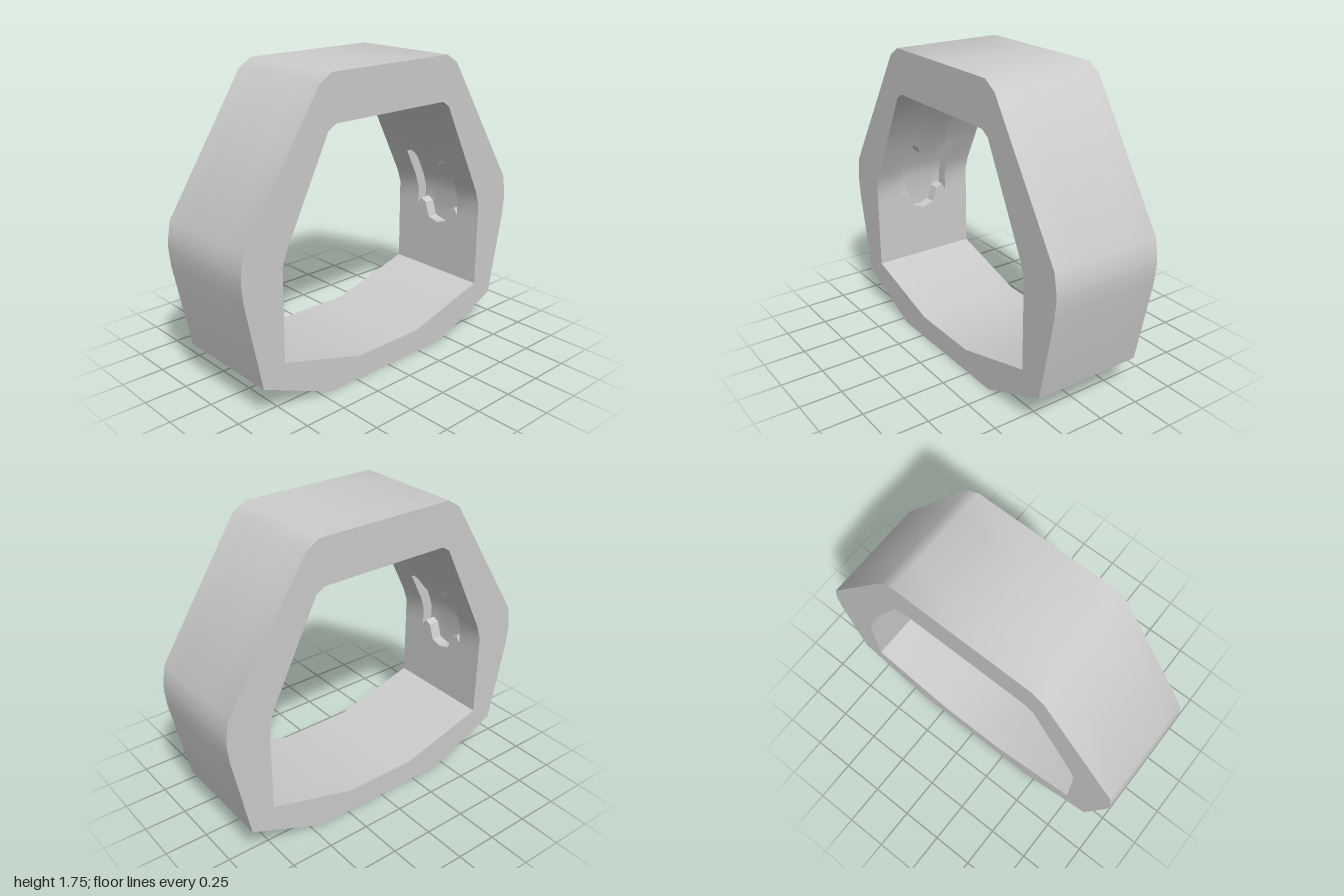
import * as THREE from 'three';
import { toCreasedNormals, mergeGeometries } from 'three/addons/utils/BufferGeometryUtils.js';

const HALF_WIDTH = 0.33, POCKET_HALF = 0.165, POCKET_DEPTH = 0.07;

// half profiles as [z, y], from top centre to bottom centre
const OUTER = [[0, 1.745], [0.42, 1.745], [0.5, 1.695], [0.98, 0.945], [0.999, 0.84],
  [1, 0.79], [0.99, 0.69], [0.89, 0.19], [0.445, 0], [0, 0]];
const INNER_TOP = [[0, 1.487], [0.395, 1.487], [0.445, 1.455]];
const INNER_WALL = [[0.75, 0.29], [0.75, 0.81], [0.72, 0.9], [0.445, 1.455]];
const INNER_BOTTOM = [[0.75, 0.29], [0.225, 0.14], [0, 0.14]];

// pocket outline by distance from the middle: [x, lower y, upper y]
const POCKET = [[0, 0.61, 1.01], [0.07, 0.63, 1.02], [0.1, 0.72, 1.07], [0.14, 0.74, 1.09], [POCKET_HALF, 0.7, 1.07]];
const EDGE = [HALF_WIDTH, 0.7, 1.07];
const columns = [...POCKET, EDGE].reverse().map(([x, lo, hi]) => [-x, lo, hi])
  .concat([...POCKET.slice(1), EDGE]);

// z of the inner wall at height y
function wallZ(y) {
  for (let i = 1; i < INNER_WALL.length; i++) {
    const [z0, y0] = INNER_WALL[i - 1], [z1, y1] = INNER_WALL[i];
    if (y <= y1 + 1e-6) return z0 + (z1 - z0) * (y - y0) / (y1 - y0);
  }
  return INNER_WALL.at(-1)[0];
}

function makeHalf() {
  const pos = [];
  const quad = (a, b, c, d) => pos.push(...a, ...b, ...c, ...a, ...c, ...d);

  // band swept across the width along a profile
  const band = (profile, inward) => {
    for (let i = 1; i < profile.length; i++) {
      const [z0, y0] = profile[i - 1], [z1, y1] = profile[i];
      for (let k = 1; k < columns.length; k++) {
        const l = columns[k - 1][0], r = columns[k][0];
        const q = [[l, y1, z1], [r, y1, z1], [r, y0, z0], [l, y0, z0]];
        quad(...(inward ? q.reverse() : q));
      }
    }
  };
  band(OUTER, false);
  band(INNER_TOP, true);
  band(INNER_BOTTOM, true);

  // inner end wall with its recessed pocket
  const point = (col, row, depth) => {
    const [x, lo, hi] = col;
    const y = [0.29, lo, 0.81, 0.9, hi, 1.455][row];
    return [x, y, wallZ(y) + depth];
  };
  for (let k = 1; k < columns.length; k++) {
    const l = columns[k - 1], r = columns[k];
    const recessed = k > 1 && k < columns.length - 1;
    for (let row = 0; row < 5; row++) {
      const d = recessed && row > 0 && row < 4 ? POCKET_DEPTH : 0;
      quad(point(r, row, d), point(l, row, d), point(l, row + 1, d), point(r, row + 1, d));
    }
    if (!recessed) continue;
    // lower and upper ledges of the pocket
    const D = POCKET_DEPTH;
    quad(point(l, 1, D), point(r, 1, D), point(r, 1, 0), point(l, 1, 0));
    quad(point(l, 4, 0), point(r, 4, 0), point(r, 4, D), point(l, 4, D));
  }
  // pocket sides
  for (let row = 1; row < 4; row++) {
    const side = (col) => [point(col, row, POCKET_DEPTH), point(col, row, 0),
      point(col, row + 1, 0), point(col, row + 1, POCKET_DEPTH)];
    quad(...side(columns[1]));
    quad(...side(columns.at(-2)).reverse());
  }

  const geometry = new THREE.BufferGeometry();
  geometry.setAttribute('position', new THREE.Float32BufferAttribute(pos, 3));
  return geometry;
}

// closed outline from a half profile
function outline(half) {
  const mirrored = half.slice(1, -1).reverse().map(([z, y]) => [-z, y]);
  return [...half, ...mirrored].map(([z, y]) => new THREE.Vector2(z, y));
}

function makeSide(sign) {
  const shape = new THREE.Shape(outline(OUTER));
  const inner = [...INNER_TOP, ...INNER_WALL.slice(0, 3).reverse(), ...INNER_BOTTOM.slice(1)];
  shape.holes.push(new THREE.Path(outline(inner)));
  const g = new THREE.ShapeGeometry(shape).toNonIndexed();
  g.deleteAttribute('uv');
  g.deleteAttribute('normal');
  return g.rotateY(sign * Math.PI / 2).translate(sign * HALF_WIDTH, 0, 0);
}

export function createModel() {
  const group = new THREE.Group();
  group.name = 'facetedRing';
  const half = makeHalf();
  const merged = mergeGeometries([half, half.clone().rotateY(Math.PI), makeSide(1), makeSide(-1)]);
  const ring = new THREE.Mesh(toCreasedNormals(merged, 0.65),
    new THREE.MeshStandardMaterial({ color: 0xcccccc }));
  ring.name = 'ringBody';
  group.add(ring);
  return group;
}
